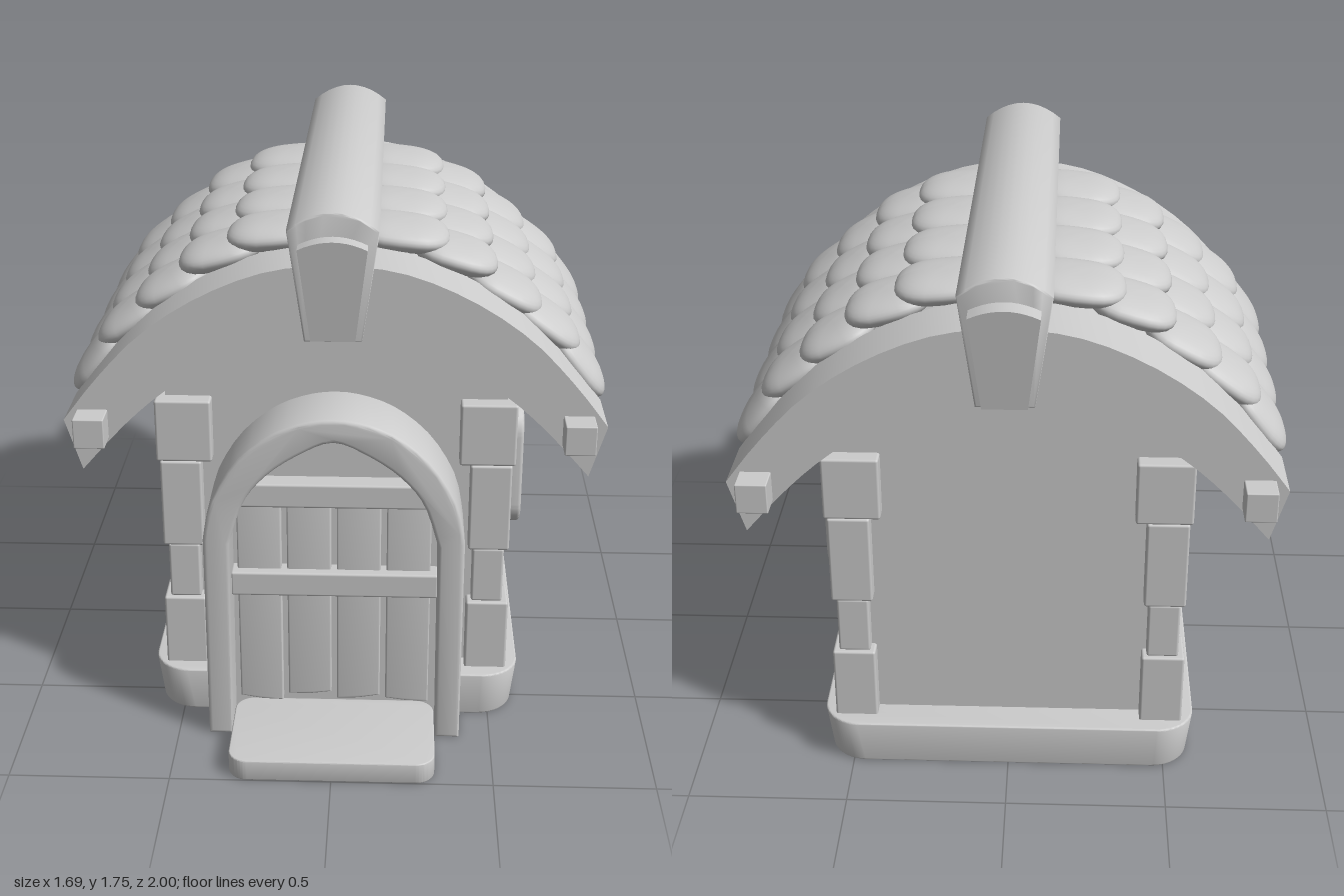
import * as THREE from 'three';
import { toCreasedNormals } from 'three/addons/utils/BufferGeometryUtils.js';
import { RoundedBoxGeometry } from 'three/addons/geometries/RoundedBoxGeometry.js';

const grey = new THREE.MeshStandardMaterial({ color: 0xcccccc, roughness: 0.8 });
const V = (x, y) => new THREE.Vector2(x, y);

export function createModel() {
  const house = new THREE.Group();
  house.name = 'house';

  const add = (name, geometry, x = 0, y = 0, z = 0) => {
    const mesh = new THREE.Mesh(geometry, grey);
    mesh.name = name;
    mesh.position.set(x, y, z);
    house.add(mesh);
    return mesh;
  };
  // Box given by its limits, with softened edges
  const block = (name, x0, x1, y0, y1, z0, z1, r = 0.008) =>
    add(name, new RoundedBoxGeometry(x1 - x0, y1 - y0, z1 - z0, 2, r), (x0 + x1) / 2, (y0 + y1) / 2, (z0 + z1) / 2);
  // Shape extruded from z0 to z1, bevel included
  const prism = (shape, z0, z1, bevel = 0, crease = 0.6) => {
    const g = new THREE.ExtrudeGeometry(shape, {
      depth: z1 - z0 - 2 * bevel, bevelEnabled: bevel > 0, bevelSize: bevel,
      bevelThickness: bevel, bevelOffset: -bevel, bevelSegments: 3, curveSegments: 10,
    });
    g.translate(0, 0, z0 + bevel);
    return toCreasedNormals(g, crease);
  };
  // Move every vertex of a geometry by a rule
  const reshape = (g, rule) => {
    const p = g.attributes.position;
    for (let i = 0; i < p.count; i++) p.setXYZ(i, ...rule(p.getX(i), p.getY(i), p.getZ(i)));
    return g;
  };
  const roundRect = (w, h, r, P = THREE.Shape) => {
    const s = new P(), a = w / 2, b = h / 2;
    s.absarc(a - r, b - r, r, 0, Math.PI / 2);
    s.absarc(-a + r, b - r, r, Math.PI / 2, Math.PI);
    s.absarc(-a + r, -b + r, r, Math.PI, Math.PI * 1.5);
    s.absarc(a - r, -b + r, r, Math.PI * 1.5, Math.PI * 2);
    s.closePath();
    return s;
  };
  // Half outline (right to centre) mirrored and smoothed into a symmetric curve
  const mirrored = (half, n = 28) => {
    const all = [...half, ...half.slice(0, -1).reverse().map(([x, y]) => [-x, y])];
    return new THREE.SplineCurve(all.map(([x, y]) => V(x, y))).getPoints(n);
  };
  const band = (outer, inner) => new THREE.Shape([...outer, ...inner.slice().reverse()]);

  // Flared plinth with round corners
  const plinth = prism(roundRect(1.19, 1.46, 0.12), 0, 0.16, 0.006);
  plinth.rotateX(-Math.PI / 2);
  reshape(plinth, (x, y, z) => {
    const k = 0.972 + 0.028 * y / 0.16;
    return [x * k, y, z * k];
  });
  add('plinth', plinth, 0, 0, -0.095);

  // Walls with curved gables
  const gable = mirrored([[0.53, 1.18], [0.4, 1.27], [0.2, 1.34], [0, 1.36]]);
  add('walls', prism(new THREE.Shape([V(-0.53, 0.1), V(0.53, 0.1), ...gable]), -0.72, 0.53));

  // Corner stones: y range, outer x, inner x, z overhang, z length
  const stones = [
    [0.885, 1.09, 0.56, 0.385, 0.05, 0.165],
    [0.59, 0.885, 0.55, 0.42, 0.05, 0.13],
    [0.4, 0.59, 0.535, 0.435, 0.042, 0.115],
    [0.15, 0.4, 0.555, 0.42, 0.052, 0.13],
  ];
  for (const [y0, y1, xo, xi, over, len] of stones) {
    for (const s of [-1, 1]) {
      const x0 = Math.min(s * xo, s * xi), x1 = Math.max(s * xo, s * xi);
      block('cornerStone', x0, x1, y0, y1, 0.53 + over - len, 0.53 + over);
      block('cornerStone', x0, x1, y0, y1, -0.72 - over, -0.72 - over + len);
    }
  }

  // Arched roof trims at both ends
  const trim = band(
    mirrored([[0.825, 1.055], [0.72, 1.19], [0.58, 1.335], [0.4, 1.455], [0.2, 1.535], [0, 1.556]]),
    mirrored([[0.775, 0.89], [0.65, 1.03], [0.53, 1.14], [0.4, 1.225], [0.2, 1.295], [0, 1.315]]));
  add('frontRoofTrim', prism(trim, 0.44, 0.65));
  add('backRoofTrim', prism(trim, -0.85, -0.64));

  // Roof boards between the trims
  const boards = band(
    mirrored([[0.775, 1.045], [0.68, 1.175], [0.56, 1.3], [0.4, 1.42], [0.2, 1.51], [0, 1.535]]),
    mirrored([[0.765, 0.995], [0.62, 1.09], [0.53, 1.15], [0.4, 1.225], [0.2, 1.295], [0, 1.315]]));
  add('roofBoards', prism(boards, -0.65, 0.45));

  // Pillow-shaped roof tiles, pitched flatter than the roof so the rows overlap:
  // lower tip and upper (buried) end of each row
  const tileRows = [
    [0.838, 1.045, 0.665, 1.265],
    [0.757, 1.205, 0.53, 1.365],
    [0.635, 1.33, 0.4, 1.45],
    [0.495, 1.46, 0.23, 1.535],
    [0.345, 1.545, 0.04, 1.578],
  ];
  const soft = (v, p) => Math.sign(v) * Math.pow(Math.abs(v), p);
  const tile = reshape(new THREE.SphereGeometry(1, 28, 16), (x, y, z) => {
    const r = Math.hypot(x, z) || 1, k = Math.pow(r, 0.75);
    return [soft(x / r, 0.72) * k, y, soft(z / r, 0.72) * k];
  });
  tile.computeVertexNormals();
  for (const [x0, y0, x1, y1] of tileRows) {
    for (const s of [-1, 1]) {
      for (let c = 0; c < 4; c++) {
        const mesh = add('roofTile', tile, s * (x0 + x1) / 2, (y0 + y1) / 2, 0.322 - 0.278 * c);
        mesh.scale.set(Math.hypot(x1 - x0, y1 - y0) / 2, 0.046, 0.143);
        mesh.rotation.z = s * Math.atan2(y1 - y0, x1 - x0);
      }
    }
  }

  // Ridge beam with a tapered keystone at each end
  const wedge = (wb, wt, y0, y1, crown) => {
    const s = new THREE.Shape();
    s.moveTo(-wb, y0);
    s.lineTo(wb, y0);
    s.lineTo(wt, y1);
    s.quadraticCurveTo(0, y1 + 2 * crown, -wt, y1);
    s.closePath();
    return s;
  };
  add('ridgeBeam', prism(wedge(0.085, 0.133, 1.355, 1.69, 0.055), -0.935, 0.745, 0.006, 1.2));
  for (const s of [-1, 1]) {
    // The outer face leans outwards towards the top
    const stone = reshape(prism(wedge(0.065, 0.1, 1.365, 1.65, 0.025), 0, 0.1), (x, y, z) =>
      [x, y, z > 0.05 ? 0.07 + 0.035 * (y - 1.365) / 0.31 : z]);
    const mesh = add(s > 0 ? 'frontKeystone' : 'backKeystone', toCreasedNormals(stone, 0.5), 0, 0, s > 0 ? 0.695 : -0.895);
    if (s < 0) mesh.rotation.y = Math.PI;
  }

  // Beam ends poking through the trims
  for (const s of [-1, 1]) {
    block('frontBeamEnd', s * 0.737 - 0.047, s * 0.737 + 0.047, 0.995, 1.09, 0.5, 0.73, 0.004);
    block('backBeamEnd', s * 0.737 - 0.047, s * 0.737 + 0.047, 0.995, 1.09, -0.93, -0.7, 0.004);
  }

  // Pointed door arch
  const outerArch = mirrored([[0.402, 0.7], [0.375, 0.83], [0.3, 0.96], [0.2, 1.05], [0.1, 1.095], [0, 1.11]]);
  const innerArch = mirrored([[0.32, 0.69], [0.275, 0.83], [0.2, 0.925], [0.1, 0.995], [0, 1.035]]);
  const arch = band([V(0.402, 0), ...outerArch, V(-0.402, 0)], [V(0.325, 0), ...innerArch, V(-0.325, 0)]);
  add('doorArch', prism(arch, 0.52, 0.755, 0.012));
  add('doorPanel', prism(new THREE.Shape([V(-0.33, 0.03), V(0.33, 0.03), ...innerArch]), 0.5, 0.637));

  // Door planks with uneven lower ends, and two rails
  const ends = [[0.09, 0.075], [0.1, 0.11], [0.085, 0.1], [0.09, 0.08]];
  ends.forEach(([l, r], i) => {
    const x = -0.305 + 0.156 * i;
    const plank = new THREE.Shape([V(x, l), V(x + 0.07, (l + r) / 2 - 0.005), V(x + 0.138, r), V(x + 0.138, 0.83), V(x, 0.83)]);
    add('doorPlank', prism(plank, 0.62, 0.67, 0.006));
  });
  block('doorRail', -0.325, 0.325, 0.48, 0.562, 0.63, 0.7);
  block('doorRail', -0.31, 0.31, 0.79, 0.87, 0.63, 0.7);

  // Doorstep with rounded corners
  const step = prism(roundRect(0.64, 0.35, 0.06), 0, 0.07, 0.004);
  step.rotateX(-Math.PI / 2);
  add('doorstep', step, 0, 0, 0.825);

  // Side window: frame and upright bars
  const frame = roundRect(0.62, 0.44, 0.095);
  frame.holes.push(roundRect(0.485, 0.355, 0.035, THREE.Path));
  const windowFrame = prism(frame, 0, 0.1, 0.012);
  windowFrame.rotateY(Math.PI / 2);
  add('windowFrame', windowFrame, 0.515, 0.685, -0.11);
  for (const [z0, z1] of [[0.027, 0.075], [-0.17, -0.043], [-0.31, -0.235]]) {
    block('windowBar', 0.51, 0.56, 0.5, 0.875, z0, z1, 0.006);
  }

  return house;
}
